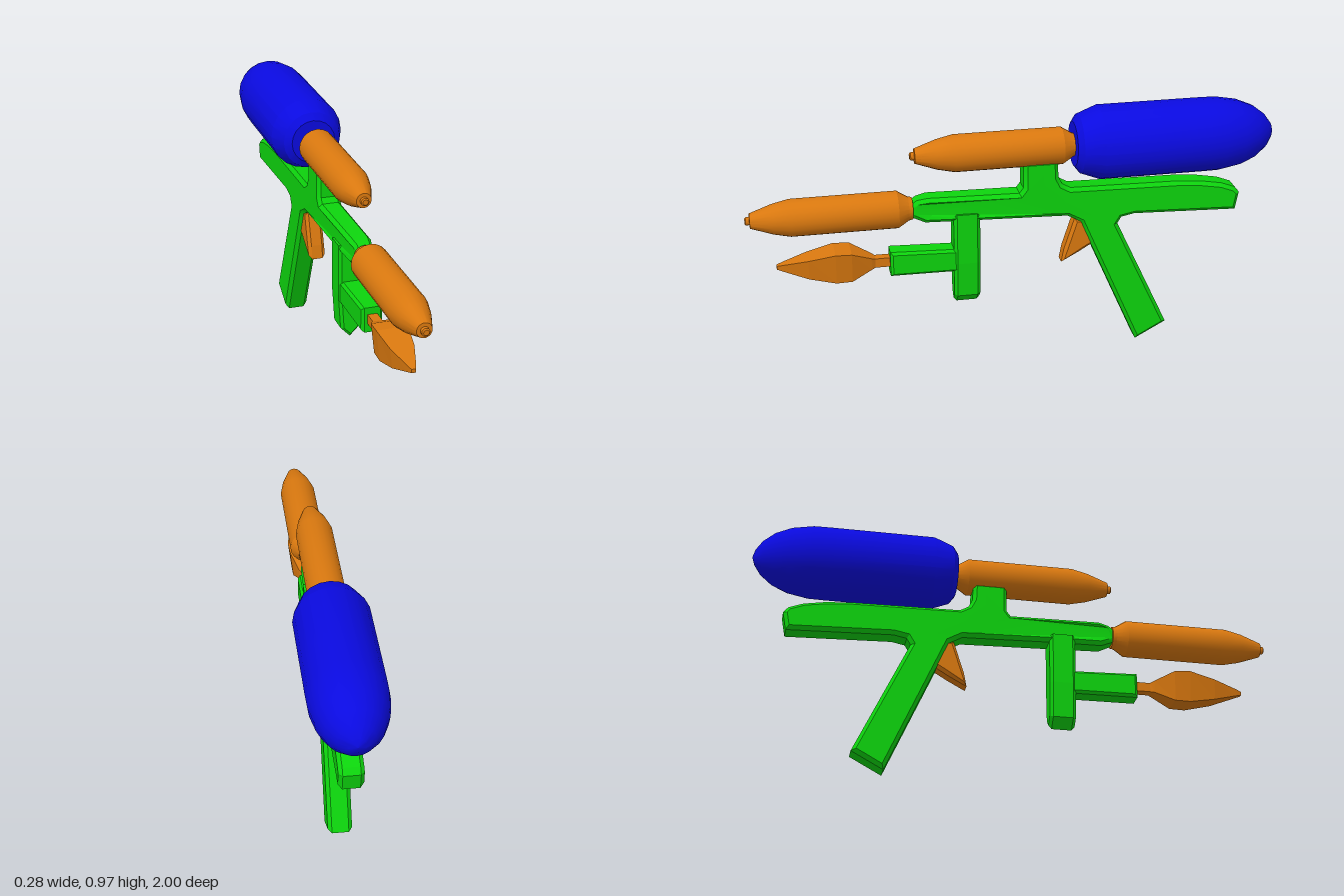
import * as THREE from 'three';
import { toCreasedNormals } from 'three/addons/utils/BufferGeometryUtils.js';

const material = (color, extra = {}) => new THREE.MeshStandardMaterial({ color, ...extra });

// Round part along z from [z, radius] pairs, z ascending
function turned(profile, y, mat, name) {
  const geo = new THREE.LatheGeometry(profile.map(([z, r]) => new THREE.Vector2(r, z)), 20);
  geo.rotateX(Math.PI / 2);
  const mesh = new THREE.Mesh(toCreasedNormals(geo, 0.45), mat);
  mesh.position.y = y;
  mesh.name = name;
  return mesh;
}

// Side outline of [z, y] points, extruded across x with chamfered edges
function sideExtrusion(points, halfWidth, bevel) {
  const shape = new THREE.Shape(points.map(([z, y]) => new THREE.Vector2(z, y)));
  const geo = new THREE.ExtrudeGeometry(shape, {
    depth: 2 * (halfWidth - bevel), bevelEnabled: true, bevelThickness: bevel,
    bevelSize: bevel, bevelOffset: -bevel, bevelSegments: 1,
  });
  geo.translate(0, 0, -(halfWidth - bevel));
  geo.rotateY(-Math.PI / 2);
  return geo;
}

// Four-sided loft through [z, bottom, top, halfBottom, halfTop] sections, z ascending
function loft(sections) {
  const pos = [], index = [];
  for (const [z, b, t, hb, ht] of sections) pos.push(-hb, b, z, hb, b, z, ht, t, z, -ht, t, z);
  for (let s = 0; s < sections.length - 1; s++) {
    for (let i = 0; i < 4; i++) {
      const a = s * 4 + i, b = s * 4 + (i + 1) % 4;
      index.push(a, b, b + 4, a, b + 4, a + 4);
    }
  }
  const e = (sections.length - 1) * 4;
  index.push(0, 2, 1, 0, 3, 2, e, e + 1, e + 2, e, e + 2, e + 3);
  const geo = new THREE.BufferGeometry();
  geo.setAttribute('position', new THREE.Float32BufferAttribute(pos, 3));
  geo.setIndex(index);
  geo.computeVertexNormals();
  return geo;
}

export function createModel() {
  const group = new THREE.Group();
  const green = material(0x0dd40d);
  const greenFlat = material(0x0dd40d, { flatShading: true });
  const orange = material(0xd9780f);
  const orangeFlat = material(0xd9780f, { flatShading: true });
  const blue = material(0x0a0ae0);
  const add = (geo, mat, name) => {
    const mesh = new THREE.Mesh(geo, mat);
    mesh.name = name;
    group.add(mesh);
  };

  // Water tank with shouldered front and domed rear
  group.add(turned([
    [-1, 0], [-0.99, 0.03], [-0.965, 0.065], [-0.92, 0.1], [-0.86, 0.125], [-0.78, 0.139],
    [-0.72, 0.14], [-0.32, 0.14], [-0.245, 0.112], [-0.225, 0.085], [-0.225, 0],
  ], 0.835, blue, 'waterTank'));

  // Upper pump tube and lower barrel, each with a tapered nose and small nub
  const tube = (back, front) => [
    [back, 0], [back, 0.042], [back + 0.015, 0.045], [back + 0.055, 0.07],
    [front - 0.165, 0.07], [front - 0.1, 0.056], [front - 0.018, 0.028],
    [front - 0.017, 0.015], [front - 0.004, 0.015], [front, 0.01], [front, 0],
  ];
  group.add(turned(tube(-0.235, 0.39), 0.832, orange, 'upperTube'));
  group.add(turned(tube(0.385, 1), 0.625, orange, 'lowerBarrel'));

  // Body, tube support and slanted handle in one outline
  const body = sideExtrusion([
    [0.395, 0.6], [0.395, 0.645], [0.37, 0.664], [0.33, 0.672], [-0.015, 0.665],
    [-0.03, 0.685], [-0.03, 0.79], [-0.16, 0.79], [-0.163, 0.72], [-0.178, 0.69], [-0.21, 0.672],
    [-0.62, 0.665], [-0.72, 0.657], [-0.8, 0.643], [-0.855, 0.622], [-0.873, 0.6], [-0.86, 0.53],
    [-0.46, 0.545], [-0.41, 0.535], [-0.395, 0.51], [-0.6, 0.07], [-0.48, 0.005],
    [-0.265, 0.495], [-0.25, 0.53], [-0.2, 0.558], [0.16, 0.57], [0.34, 0.575],
  ], 0.045, 0.014);
  // Narrow the nose towards the barrel
  const p = body.attributes.position;
  for (let i = 0; i < p.count; i++) {
    const t = THREE.MathUtils.smoothstep(p.getZ(i), 0.3, 0.39);
    p.setX(i, p.getX(i) * (1 - 0.3 * t));
  }
  add(toCreasedNormals(body, 0.5), green, 'bodyAndHandle');

  // Front grip with a pointed foot
  const foot = new THREE.Shape([
    [0, 0.225], [0.036, 0.262], [0.045, 0.4], [0.045, 0.6], [-0.045, 0.6], [-0.045, 0.4], [-0.036, 0.262],
  ].map(([x, y]) => new THREE.Vector2(x, y)));
  const gripGeo = new THREE.ExtrudeGeometry(foot, {
    depth: 0.076, bevelThickness: 0.012, bevelSize: 0.01, bevelOffset: -0.01, bevelSegments: 1,
  });
  gripGeo.translate(0, 0, 0.147);
  add(gripGeo, greenFlat, 'frontGrip');

  // Arm reaching forward from the grip
  add(sideExtrusion([[0.2, 0.365], [0.475, 0.368], [0.475, 0.465], [0.2, 0.455]], 0.04, 0.01),
    greenFlat, 'frontArm');

  // Faceted lower nozzle on its stem
  add(loft([
    [0.46, 0.402, 0.438, 0.018, 0.018], [0.53, 0.402, 0.438, 0.018, 0.018],
    [0.545, 0.398, 0.445, 0.025, 0.028], [0.62, 0.364, 0.48, 0.043, 0.056],
    [0.68, 0.363, 0.483, 0.044, 0.058], [0.78, 0.385, 0.463, 0.034, 0.044],
    [0.87, 0.415, 0.443, 0.014, 0.017], [0.895, 0.423, 0.437, 0.007, 0.008],
  ]), orangeFlat, 'lowerNozzle');

  // Trigger
  add(sideExtrusion([
    [-0.23, 0.54], [-0.31, 0.54], [-0.325, 0.445], [-0.25, 0.4], [-0.18, 0.362], [-0.19, 0.415],
  ], 0.033, 0.012), orangeFlat, 'trigger');

  return group;
}
